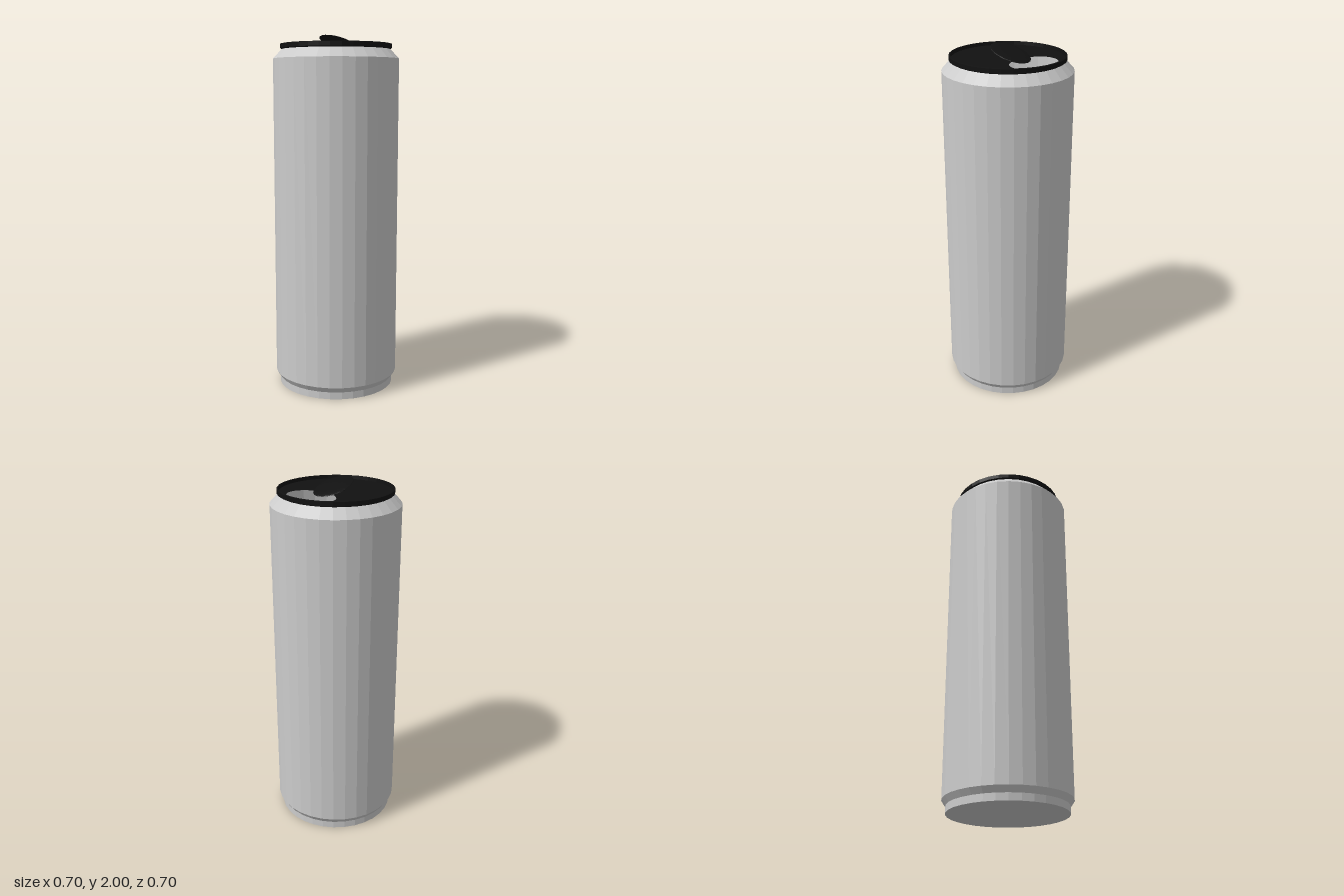
import * as THREE from 'three';

const SEGMENTS = 32;

function makeMaterial(color) {
  return new THREE.MeshStandardMaterial({ color, flatShading: true, side: THREE.DoubleSide });
}

function addMesh(group, name, geometry, material) {
  const mesh = new THREE.Mesh(geometry, material);
  mesh.name = name;
  group.add(mesh);
  return mesh;
}

function lathe(profile) {
  return new THREE.LatheGeometry(profile.map(([r, y]) => new THREE.Vector2(r, y)), SEGMENTS);
}

export function createModel() {
  const can = new THREE.Group();
  can.name = 'drinkCan';
  const metal = makeMaterial(0xcccccc);
  const black = makeMaterial(0x111111);

  // Hollow body: base disc, foot, straight wall and shoulder
  addMesh(can, 'body', lathe([
    [0, 0], [0.33, 0], [0.33, 0.04], [0.352, 0.073], [0.352, 1.873], [0.303, 1.925],
  ]), metal);

  // Raised rim around the lid
  addMesh(can, 'lidRim', lathe([
    [0.303, 1.925], [0.312, 1.93], [0.312, 1.953], [0.304, 1.955], [0.302, 1.935],
  ]), black);

  // Lid panel with the oval drinking hole
  const panel = new THREE.Shape();
  panel.absarc(0, 0, 0.304, 0, Math.PI * 2, false);
  const hole = new THREE.Path();
  hole.absellipse(0.173, 0, 0.109, 0.15, 0, Math.PI * 2, true, 0);
  panel.holes.push(hole);
  const lid = addMesh(can, 'lidPanel', new THREE.ShapeGeometry(panel, SEGMENTS), black);
  lid.rotation.x = -Math.PI / 2;
  lid.position.y = 1.935;

  // Thin, tilted pull tab dipping into the hole
  const tabShape = new THREE.SphereGeometry(1, 20, 12);
  tabShape.scale(0.12, 0.009, 0.096);
  const tab = addMesh(can, 'pullTab', tabShape, black);
  tab.rotation.z = -0.3;
  tab.position.set(0.017, 1.963, 0);

  return can;
}
